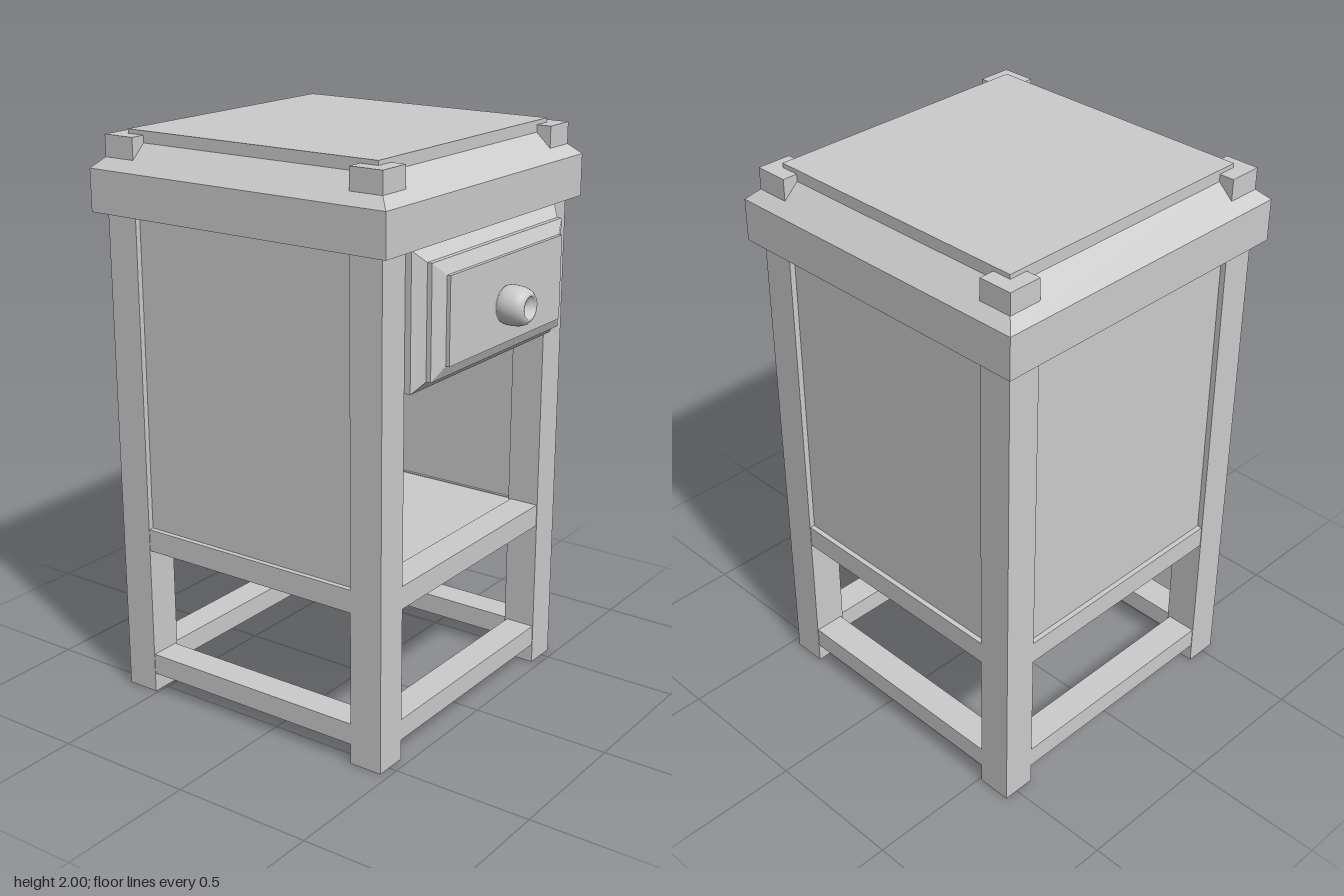
import * as THREE from 'three';

const material = new THREE.MeshStandardMaterial({ color: 0xcccccc });

function add(parent, name, geometry, x = 0, y = 0, z = 0) {
  const mesh = new THREE.Mesh(geometry, material);
  mesh.name = name;
  mesh.position.set(x, y, z);
  parent.add(mesh);
  return mesh;
}

// Box given by its minimum and maximum corners
function block(parent, name, [x0, y0, z0], [x1, y1, z1]) {
  return add(parent, name, new THREE.BoxGeometry(x1 - x0, y1 - y0, z1 - z0),
    (x0 + x1) / 2, (y0 + y1) / 2, (z0 + z1) / 2);
}

// Closed solid through rectangular rings [halfWidth, halfHeight, z], rising in z
function steppedBlock(rings) {
  const pos = [];
  const corners = rings.map(([w, h, z]) => [[-w, -h, z], [w, -h, z], [w, h, z], [-w, h, z]]);
  const quad = (a, b, c, d) => pos.push(...a, ...b, ...c, ...a, ...c, ...d);
  for (let i = 0; i < corners.length - 1; i++) {
    for (let k = 0; k < 4; k++) {
      const n = (k + 1) % 4;
      quad(corners[i][k], corners[i][n], corners[i + 1][n], corners[i + 1][k]);
    }
  }
  const first = corners[0];
  quad(first[3], first[2], first[1], first[0]);
  quad(...corners[corners.length - 1]);
  const geometry = new THREE.BufferGeometry();
  geometry.setAttribute('position', new THREE.Float32BufferAttribute(pos, 3));
  geometry.computeVertexNormals();
  return geometry;
}

export function createModel() {
  const model = new THREE.Group();
  model.name = 'nightstand';

  // The cabinet is square in plan; the drawer knob sticks out at the front
  const cabinet = new THREE.Group();
  cabinet.name = 'cabinet';
  cabinet.position.z = -0.08;
  model.add(cabinet);

  // Legs run right through the top and end as corner blocks
  for (const sx of [-1, 1]) {
    for (const sz of [-1, 1]) {
      add(cabinet, 'leg', new THREE.BoxGeometry(0.12, 1.985, 0.12), sx * 0.49, 0.9925, sz * 0.49);
    }
  }

  // Stretchers, shelf rails and recessed wall panels; the front stays open
  ['front', 'right', 'back', 'left'].forEach((side, i) => {
    const group = new THREE.Group();
    group.name = side + 'Side';
    group.rotation.y = -i * Math.PI / 2;
    cabinet.add(group);
    block(group, 'stretcher', [-0.43, 0.07, 0.44], [0.43, 0.145, 0.548]);
    block(group, 'shelfRail', [-0.43, 0.545, 0.44], [0.43, 0.625, 0.548]);
    if (side !== 'front') block(group, 'wallPanel', [-0.45, 0.62, 0.45], [0.45, 1.74, 0.53]);
  });
  block(cabinet, 'shelf', [-0.45, 0.546, -0.45], [0.45, 0.622, 0.45]);

  // Drawer housing
  block(cabinet, 'drawerDivider', [-0.45, 1.22, -0.46], [0.45, 1.28, 0.43]);
  block(cabinet, 'drawerBody', [-0.428, 1.277, -0.45], [0.428, 1.73, 0.54]);

  // Top with bevelled rim and raised centre panel
  const top = add(cabinet, 'tabletop', steppedBlock([
    [0.588, 0.588, 1.73], [0.588, 0.588, 1.875],
    [0.497, 0.497, 1.96], [0.497, 0.497, 2],
  ]));
  top.rotation.x = -Math.PI / 2;

  // Raised drawer front
  add(model, 'drawerFront', steppedBlock([
    [0.432, 0.226, 0.44], [0.432, 0.226, 0.492], [0.395, 0.188, 0.525],
    [0.395, 0.188, 0.542], [0.342, 0.144, 0.562], [0.342, 0.144, 0.575],
  ]), 0.002, 1.501, 0);

  // Round knob with a dimple in its end
  const profile = [
    [0, 0], [0.06, 0], [0.065, 0.012], [0.066, 0.035], [0.064, 0.06],
    [0.057, 0.08], [0.045, 0.092], [0.036, 0.092], [0.03, 0.078], [0, 0.068],
  ].map(([r, h]) => new THREE.Vector2(r, h));
  const knob = add(model, 'drawerKnob', new THREE.LatheGeometry(profile, 32), -0.015, 1.487, 0.575);
  knob.rotation.x = Math.PI / 2;

  return model;
}
